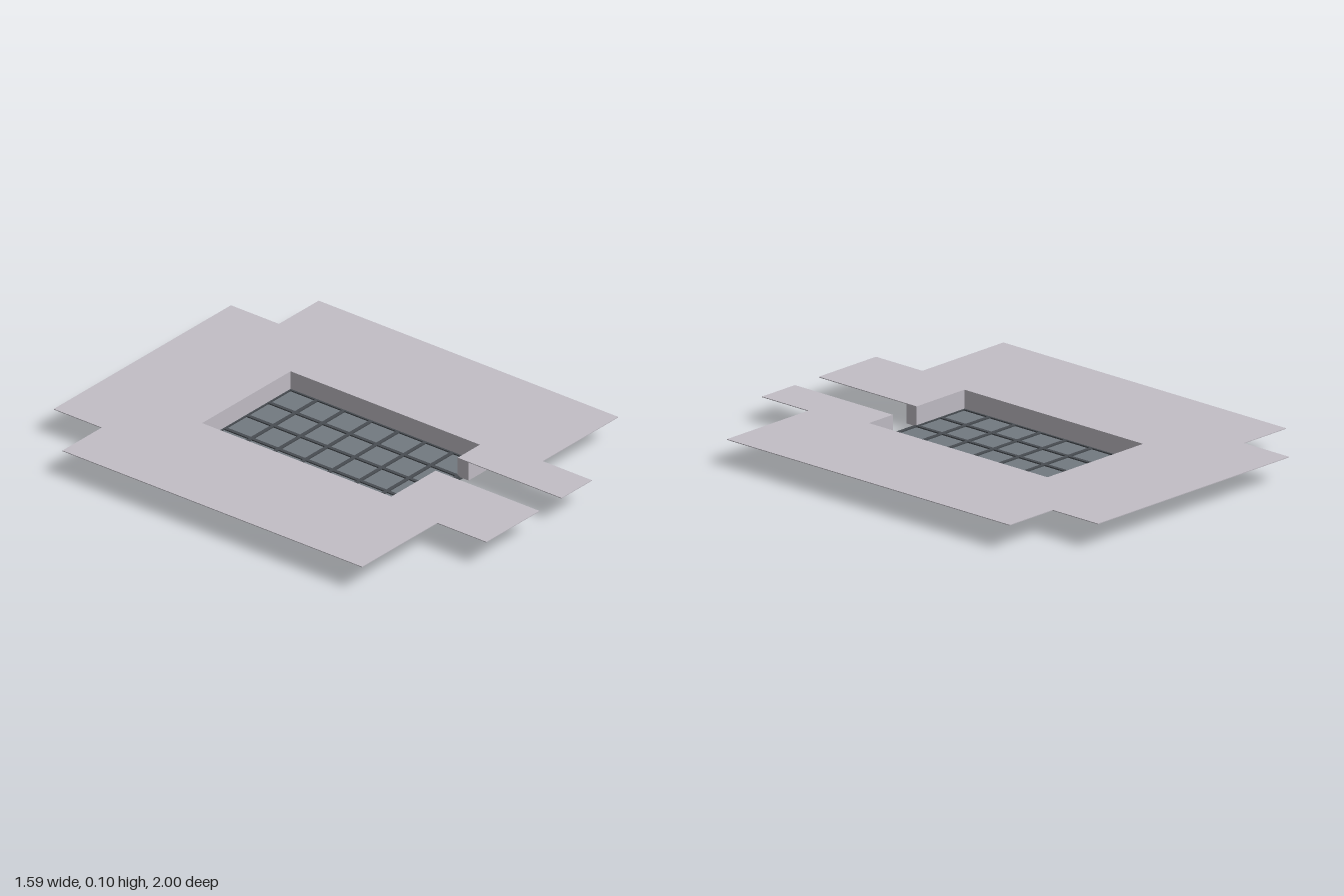
import * as THREE from 'three';

const mat = (name, color) => {
  const m = new THREE.MeshStandardMaterial({ color });
  m.name = name;
  return m;
};

export function createModel() {
  const group = new THREE.Group();
  group.name = 'sunkenPool';
  const stone = mat('pale stone', 0xc2bec6);
  const tileGrey = mat('tile grey', 0x737a81);
  const grout = mat('dark grout', 0x484d52);

  const cell = 0.1365, cols = 4, rows = 7;
  const inX = 0.274, inZ = 0.477;      // recess half size
  const slotL = 0, slotR = 0.137;      // entrance slot in the front

  // flat outline of [x, z] points, raised from y0 to y1
  const slab = (name, points, y0, y1) => {
    const shape = new THREE.Shape(points.map(([x, z]) => new THREE.Vector2(x, -z)));
    const geo = new THREE.ExtrudeGeometry(shape, { depth: y1 - y0, bevelEnabled: false });
    geo.rotateX(-Math.PI / 2).translate(0, y0, 0);
    const mesh = new THREE.Mesh(geo, stone);
    mesh.name = name;
    group.add(mesh);
  };
  const box = (name, w, h, d, x, y, z, material) => {
    const mesh = new THREE.Mesh(new THREE.BoxGeometry(w, h, d), material);
    mesh.position.set(x, y, z);
    mesh.name = name;
    group.add(mesh);
  };

  // recess boundary, running from one side of the slot round to the other
  const recess = [[slotR, inZ], [inX, inZ], [inX, -inZ], [-inX, -inZ], [-inX, inZ], [slotL, inZ]];

  // surrounding ground sheet with back and front tabs
  slab('groundSheet', [
    ...recess,
    [slotL, 1], [-0.328, 1], [-0.328, 0.752], [-0.793, 0.752], [-0.793, -0.758],
    [-0.55, -0.758], [-0.55, -1], [0.547, -1], [0.547, -0.758], [0.793, -0.758],
    [0.793, 0.752], [0.325, 0.752], [0.325, 1], [slotR, 1],
  ], 0.094, 0.097);

  // thick walls below the sheet, open at the slot
  slab('recessWalls', [
    ...recess,
    [slotL, 0.532], [-0.33, 0.532], [-0.33, -0.532], [0.33, -0.532], [0.33, 0.532], [slotR, 0.532],
  ], 0.014, 0.094);

  // floor slab
  box('floorSlab', 0.57, 0.011, 0.974, 0, 0.0055, 0, grout);

  // floor tiles
  for (let i = 0; i < cols; i++) {
    for (let j = 0; j < rows; j++) {
      box('floorTile', cell - 0.012, 0.003, cell - 0.012,
        (i - (cols - 1) / 2) * cell, 0.0125, (j - (rows - 1) / 2) * cell, tileGrey);
    }
  }

  // raised bars between the tiles
  const bar = 0.015, barH = 0.008, barY = 0.015;
  for (let i = 0; i <= cols; i++) {
    box('longBar', bar, barH, rows * cell + bar, (i - cols / 2) * cell, barY, 0, grout);
  }
  for (let j = 0; j <= rows; j++) {
    box('crossBar', cols * cell + bar, barH, bar, 0, barY, (j - rows / 2) * cell, grout);
  }
  return group;
}
